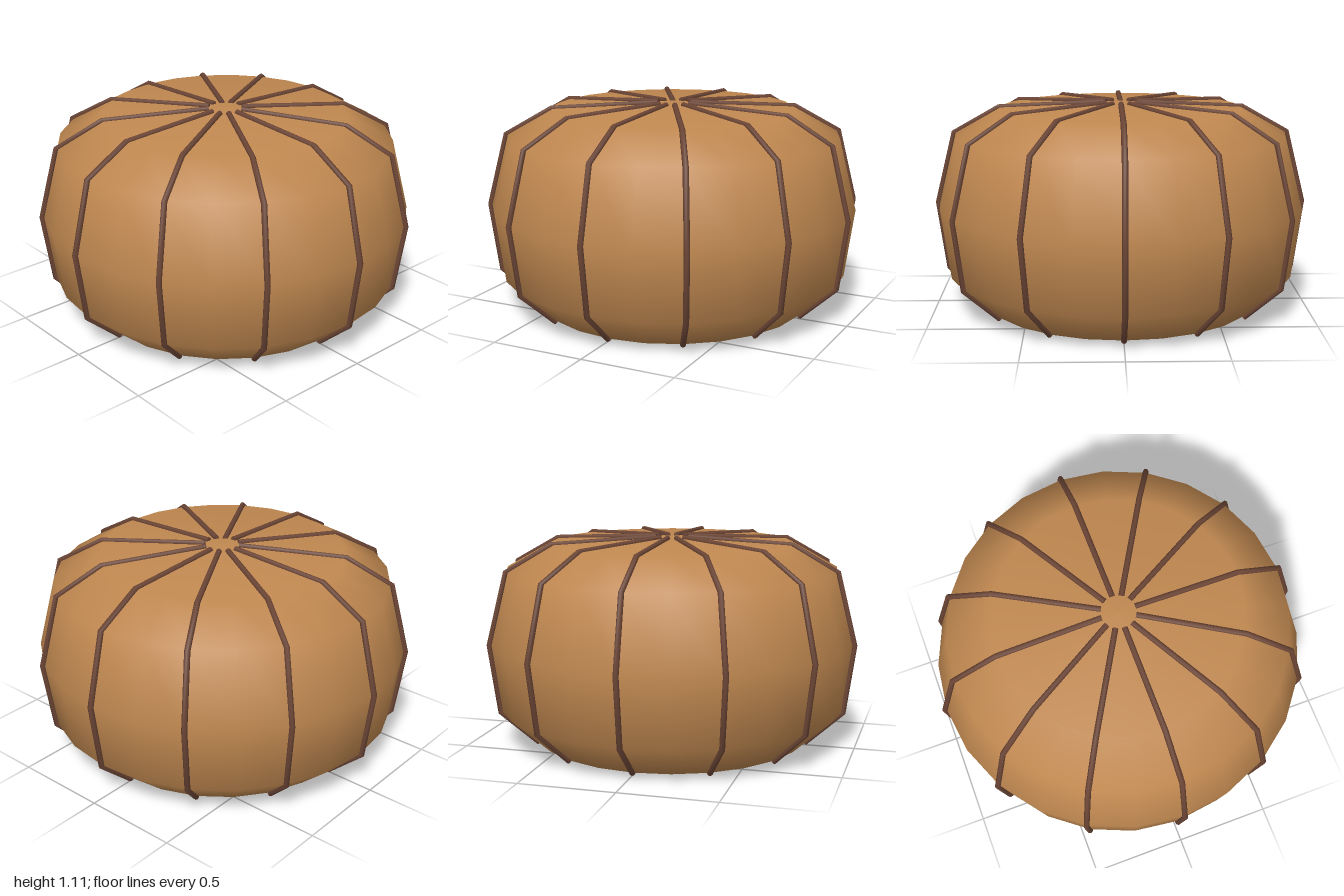
import * as THREE from 'three';

// Straight-sided path through points, with mitred corners when used in a tube
class Polyline extends THREE.Curve {
  constructor(points) {
    super();
    this.points = points;
  }
  getPoint(t, target = new THREE.Vector3()) {
    const n = this.points.length - 1;
    const i = Math.min(Math.floor(t * n + 1e-9), n - 1);
    return target.lerpVectors(this.points[i], this.points[i + 1], t * n - i);
  }
  getUtoTmapping(u) {
    return u;
  }
}

export function createModel() {
  const group = new THREE.Group();
  group.name = 'pouf';
  const leather = new THREE.MeshStandardMaterial({ name: 'tan leather', color: 0xc08850 });
  const piping = new THREE.MeshStandardMaterial({ name: 'brown piping', color: 0x6b4535 });

  // Shared side contour: radius, height
  const contour = [[0.735, 0.015], [0.935, 0.195], [0.985, 0.56], [0.89, 0.94], [0.65, 1.075]];

  // Cushion body
  const profile = [
    [0, 0.01],
    ...contour.map(([r, y]) => [r - 0.008, y]),
    [0, 1.1],
  ].map(([r, y]) => new THREE.Vector2(r, y));
  const body = new THREE.Mesh(new THREE.LatheGeometry(profile, 24), leather);
  body.name = 'cushion';
  group.add(body);

  // Twelve piped seams, each stopping short of the top centre
  const radius = 0.015;
  const path = [...contour, [0.09, 1.1]].map(([r, y]) => new THREE.Vector3(0, y, r));
  const tube = new THREE.TubeGeometry(new Polyline(path), path.length - 1, radius, 8, false);
  const cap = new THREE.CircleGeometry(radius, 8);
  const last = path.length - 1;
  for (let i = 0; i < 12; i++) {
    const seam = new THREE.Group();
    seam.name = 'seam';
    seam.add(new THREE.Mesh(tube, piping));
    for (const [end, next] of [[0, 1], [last, last - 1]]) {
      const disc = new THREE.Mesh(cap, piping);
      disc.name = 'seamEnd';
      disc.position.copy(path[end]);
      disc.lookAt(path[end].clone().multiplyScalar(2).sub(path[next]));
      seam.add(disc);
    }
    seam.rotation.y = (i * Math.PI) / 6;
    group.add(seam);
  }
  return group;
}
